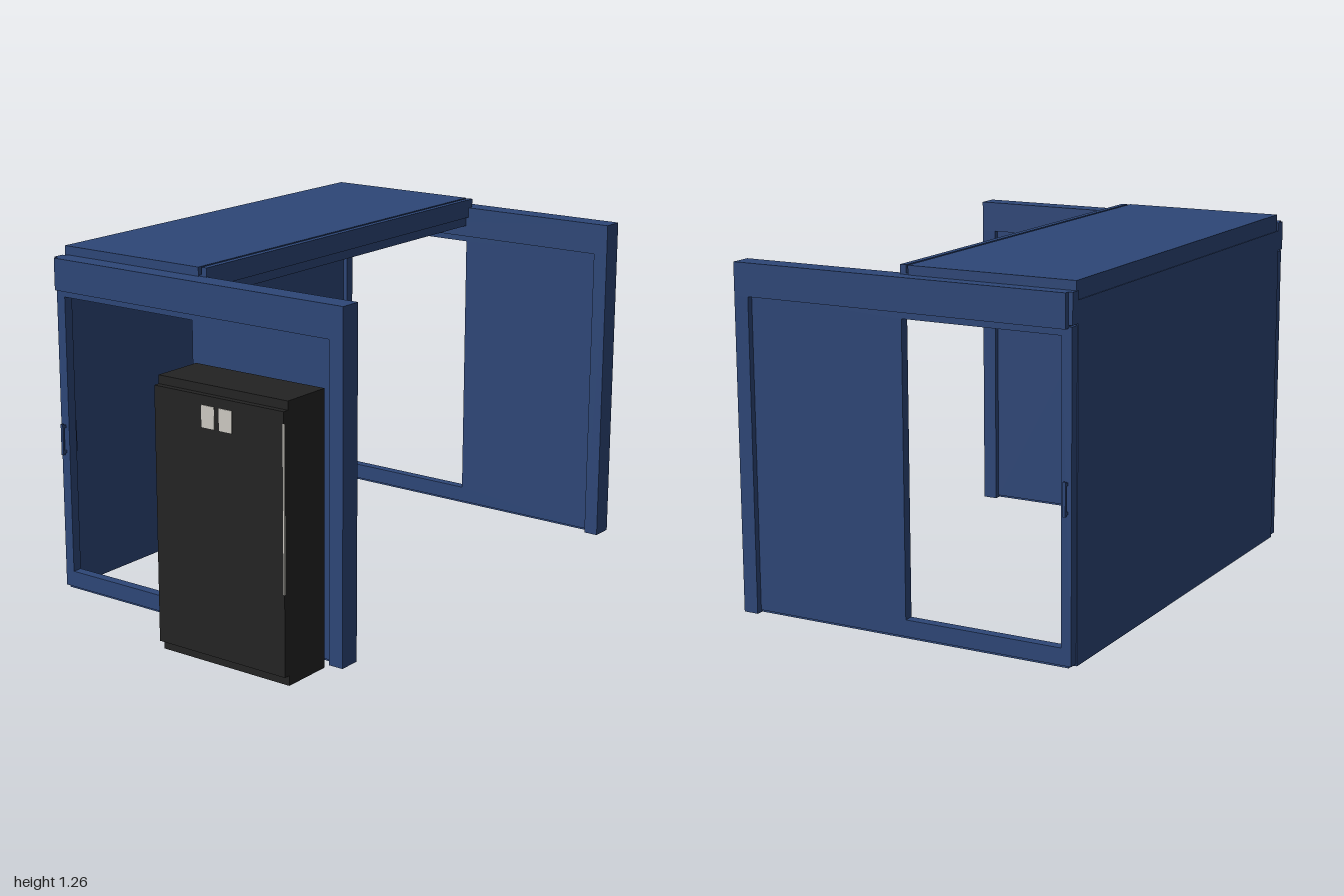
import * as THREE from 'three';

export function createModel() {
  const root = new THREE.Group();
  const blue = new THREE.MeshStandardMaterial({ color: 0x2d4677 });
  blue.name = 'navy blue paint';
  const black = new THREE.MeshStandardMaterial({ color: 0x232323 });
  black.name = 'black casing';
  const pale = new THREE.MeshStandardMaterial({ color: 0xccc9c1 });
  pale.name = 'pale label';

  // Box given by its limits on each axis
  function box(parent, name, mat, [x0, x1], [y0, y1], [z0, z1]) {
    const mesh = new THREE.Mesh(new THREE.BoxGeometry(x1 - x0, y1 - y0, z1 - z0), mat);
    mesh.position.set((x0 + x1) / 2, (y0 + y1) / 2, (z0 + z1) / 2);
    mesh.name = name;
    parent.add(mesh);
    return mesh;
  }

  // End wall: header, post and a recessed panel with a doorway; z = 0 is its middle
  function endWall(name, z, out) {
    const g = new THREE.Group();
    g.name = name;
    box(g, 'header', blue, [-0.62, 0.635], [1.115, 1.23], [-0.04, 0.04]);
    box(g, 'post', blue, [0.58, 0.635], [0, 1.115], [-0.04, 0.04]);
    box(g, 'headerEndCap', blue, [-0.635, -0.62], [1.125, 1.23], [-0.02, 0.02]);

    const shape = new THREE.Shape([[-0.632, 0.008], [0.58, 0.008], [0.58, 1.12], [-0.632, 1.12]]
      .map(([x, y]) => new THREE.Vector2(x, y)));
    shape.holes.push(new THREE.Path([[-0.595, 0.067], [-0.595, 1.09], [-0.01, 1.09], [-0.01, 0.067]]
      .map(([x, y]) => new THREE.Vector2(x, y))));
    const panel = new THREE.Mesh(
      new THREE.ExtrudeGeometry(shape, { depth: 0.036, bevelEnabled: false }), blue);
    panel.position.z = -0.018;
    panel.name = 'doorwayPanel';
    g.add(panel);

    // Pull handles on both faces
    for (const s of [-1, 1]) {
      const grip = box(g, 'handleGrip', blue, [-0.619, -0.609], [0.51, 0.625], [0.028, 0.036]);
      grip.position.z *= s;
      for (const y of [0.515, 0.61]) {
        const mount = box(g, 'handleMount', blue, [-0.619, -0.609], [y, y + 0.01], [0.016, 0.03]);
        mount.position.z *= s;
      }
    }
    // Sill under the panel
    box(g, 'sill', blue, [-0.62, 0.58], [0, 0.008], [-0.012, 0.012]);
    g.position.z = z;
    root.add(g);
  }
  endWall('frontWall', 0.72);
  endWall('backWall', -0.96);

  // Long side wall and the half roof above it
  box(root, 'sideWall', blue, [-0.635, -0.615], [0, 1.2], [-0.942, 0.702]);
  const roof = new THREE.Group();
  roof.name = 'roof';
  root.add(roof);
  box(roof, 'roofSlab', blue, [-0.632, -0.02], [1.195, 1.262], [-0.95, 0.69]);
  box(roof, 'roofSeam', blue, [-0.02, -0.01], [1.195, 1.235], [-0.945, 0.685]);
  box(roof, 'roofEdgeBar', blue, [-0.01, 0.012], [1.192, 1.262], [-0.945, 0.685]);
  box(roof, 'roofEdgeBeam', blue, [-0.045, 0.0], [1.157, 1.192], [-0.92, 0.685]);

  // Cabinet standing in front
  const cabinet = new THREE.Group();
  cabinet.name = 'cabinet';
  root.add(cabinet);
  box(cabinet, 'cabinetBody', black, [0.045, 0.58], [0, 0.96], [0.785, 0.976]);
  box(cabinet, 'cabinetDoor', black, [0.045, 0.58], [0.035, 0.93], [0.976, 0.998]);
  for (const x of [0.245, 0.318])
    box(cabinet, 'label', pale, [x, x + 0.053], [0.822, 0.897], [0.997, 1.0]);
  box(cabinet, 'edgeStrip', pale, [0.576, 0.581], [0.32, 0.89], [0.994, 0.999]);

  return root;
}
